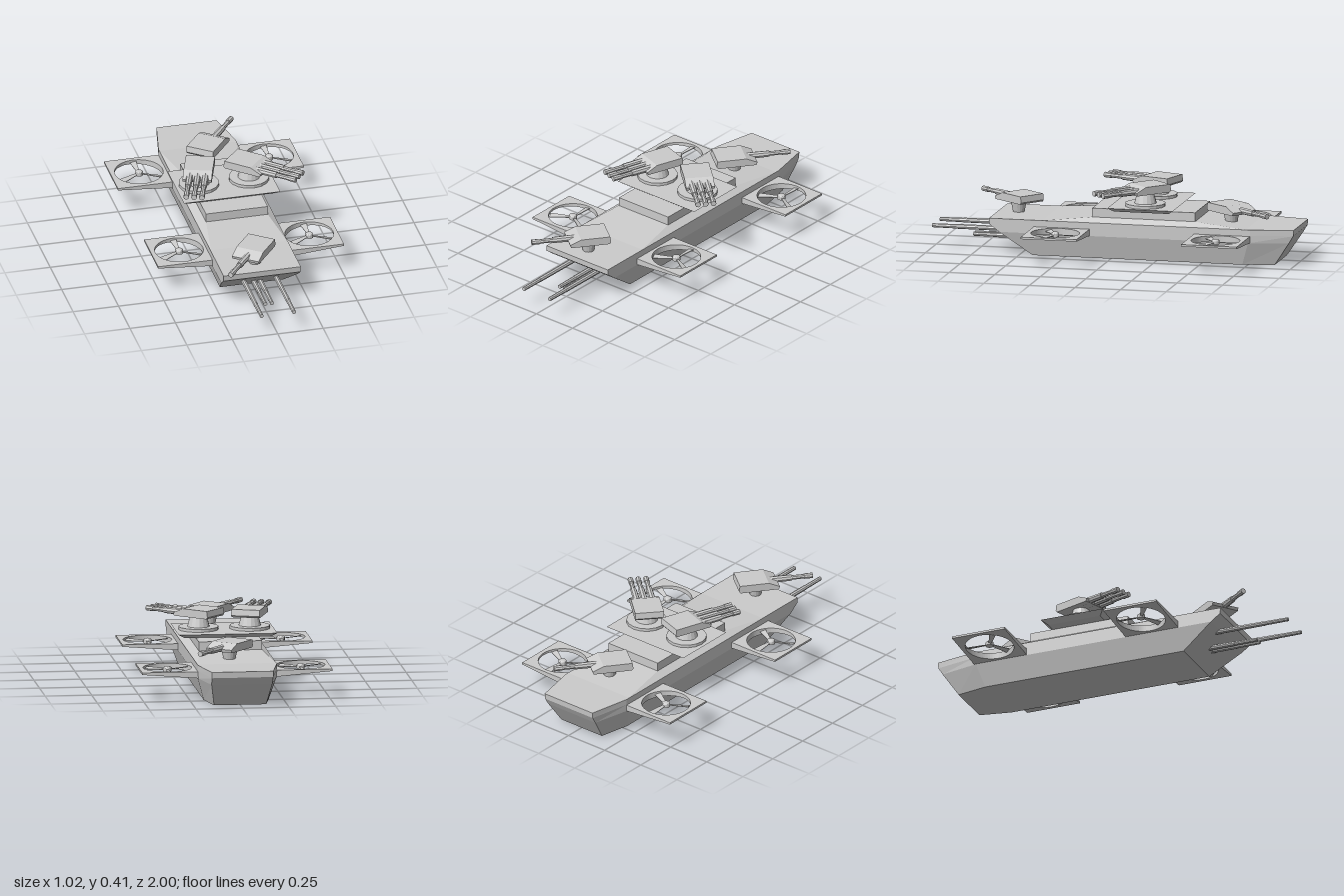
import * as THREE from 'three';

const mat = new THREE.MeshStandardMaterial({ color: 0xcccccc, flatShading: true });
const matThin = new THREE.MeshStandardMaterial({ color: 0xcccccc, flatShading: true, side: THREE.DoubleSide });

function add(parent, name, geo, x = 0, y = 0, z = 0, material = mat) {
  const m = new THREE.Mesh(geo, material);
  m.name = name;
  m.position.set(x, y, z);
  parent.add(m);
  return m;
}

// Solid from stacked horizontal rings: [y, halfWidth, zFront, zShoulder, halfWidthBack, zBack]
function stacked(levels) {
  const pos = [], idx = [], n = 6, last = (levels.length - 1) * n;
  for (const [y, w, zf, zs, wb, zb] of levels) {
    for (const [x, z] of [[w, zf], [w, zs], [wb, zb], [-wb, zb], [-w, zs], [-w, zf]]) pos.push(x, y, z);
  }
  for (let l = 0; l < levels.length - 1; l++) {
    for (let i = 0; i < n; i++) {
      const a = l * n + i, b = l * n + (i + 1) % n;
      idx.push(a, b, b + n, a, b + n, a + n);
    }
  }
  for (let i = 1; i < n - 1; i++) {
    idx.push(0, i + 1, i, last, last + i, last + i + 1);
  }
  const g = new THREE.BufferGeometry();
  g.setAttribute('position', new THREE.Float32BufferAttribute(pos, 3));
  g.setIndex(idx);
  const out = g.toNonIndexed();
  out.computeVertexNormals();
  return out;
}

// Cylinder along +z from z0 to z1
function rod(r0, r1, z0, z1, sides = 8) {
  return new THREE.CylinderGeometry(r1, r0, z1 - z0, sides)
    .rotateX(Math.PI / 2).translate(0, 0, (z0 + z1) / 2);
}

// Gun house with flat roof and sloped face, pointing along +z
function houseGeometry() {
  const w = 0.155;
  const s = new THREE.Shape([[-0.105, 0], [-0.113, 0.01], [-0.108, 0.043], [0.05, 0.043], [0.11, 0.016], [0.105, 0]]
    .map(([x, y]) => new THREE.Vector2(x, y)));
  return new THREE.ExtrudeGeometry(s, { depth: w, bevelEnabled: false })
    .translate(0, 0, -w / 2).rotateY(-Math.PI / 2);
}

function turret(name, x, y, z, angle, barrelOffsets) {
  const t = new THREE.Group();
  t.name = name;
  t.position.set(x, y, z);
  t.rotation.y = angle;
  add(t, 'gunHouse', houseGeometry());
  for (const bx of barrelOffsets) {
    add(t, 'barrelSleeve', rod(0.019, 0.017, 0.04, 0.19), bx, 0.018, 0);
    add(t, 'barrel', rod(0.013, 0.012, 0.18, 0.27), bx, 0.018, 0);
    add(t, 'muzzle', rod(0.015, 0.015, 0.26, 0.305), bx, 0.018, 0);
  }
  return t;
}

// Square rotor frame with round hole, thinning towards its outer edge
function rotorFrameGeometry(side) {
  const h = 0.153, thick = 0.036;
  const s = new THREE.Shape([[-h, -h], [h, -h], [h, h], [-h, h]].map(p => new THREE.Vector2(...p)));
  s.holes.push(new THREE.Path().absarc(0, 0, 0.13, 0, Math.PI * 2, true));
  const g = new THREE.ExtrudeGeometry(s, { depth: thick, bevelEnabled: false, curveSegments: 32 });
  g.rotateX(-Math.PI / 2).translate(0, -thick, 0);
  const p = g.attributes.position;
  for (let i = 0; i < p.count; i++) {
    const out = (side * p.getX(i) + h) / (2 * h);
    if (p.getY(i) < -thick / 2) p.setY(i, -thick + out * 0.025);
  }
  g.computeVertexNormals();
  return g;
}

function rotor(name, side, z) {
  const r = new THREE.Group();
  r.name = name;
  r.position.set(side * 0.358, 0.162, z);
  add(r, 'rotorFrame', rotorFrameGeometry(side));
  add(r, 'rotorHub', new THREE.CylinderGeometry(0.022, 0.022, 0.018, 12), 0, -0.01, 0);
  add(r, 'hubCap', new THREE.SphereGeometry(0.022, 12, 4, 0, Math.PI * 2, 0, Math.PI / 2).scale(1, 0.4, 1), 0, -0.001, 0);
  const blade = new THREE.Shape([[-0.006, 0.015], [0.008, 0.015], [0.017, 0.122], [-0.017, 0.126]]
    .map(p => new THREE.Vector2(...p)));
  for (let i = 0; i < 3; i++) {
    const g = new THREE.ExtrudeGeometry(blade, { depth: 0.004, bevelEnabled: false });
    g.rotateX(-Math.PI / 2).rotateZ(0.25).rotateY(i * Math.PI * 2 / 3);
    add(r, 'rotorBlade', g, 0, -0.012, 0, matThin);
  }
  return r;
}

export function createModel() {
  const ship = new THREE.Group();
  ship.name = 'airship';

  // Hull with raked bow and tapered stern
  add(ship, 'hull', stacked([
    [0, 0.175, 0.43, -0.72, 0.14, -0.89],
    [0.125, 0.212, 0.605, -0.76, 0.163, -0.973],
    [0.165, 0.212, 0.658, -0.77, 0.165, -0.997],
    [0.197, 0.212, 0.66, -0.77, 0.165, -1],
  ]));

  // Deck rise, superstructure and flared gun platform
  add(ship, 'deckRise', stacked([
    [0.196, 0.211, 0.38, -0.5, 0.211, -0.76],
    [0.221, 0.17, 0.105, -0.2, 0.17, -0.46],
  ]));
  add(ship, 'superstructure', new THREE.BoxGeometry(0.34, 0.05, 0.565), 0, 0.244, -0.178);
  add(ship, 'gunPlatform', stacked([
    [0.268, 0.23, -0.03, -0.18, 0.23, -0.33],
    [0.29, 0.265, 0, -0.18, 0.265, -0.36],
  ]));

  // Paired main turrets on the platform
  for (const [name, side, angle] of [['leftMainTurret', 1, 0.84], ['rightMainTurret', -1, -0.33]]) {
    const x = side * 0.138, z = -0.18;
    add(ship, 'turretRing', new THREE.CylinderGeometry(0.108, 0.108, 0.018, 16), x, 0.297, z);
    add(ship, 'turretPedestal', new THREE.CylinderGeometry(0.044, 0.06, 0.06, 16), x, 0.335, z);
    ship.add(turret(name, x, 0.363, z, angle, [-0.042, 0, 0.042]));
  }

  // Single-gun deck turrets fore and aft
  for (const [name, x, z, angle] of [['frontTurret', -0.02, 0.55, -0.66], ['rearTurret', 0.025, -0.625, 2.48]]) {
    add(ship, 'turretPedestal', new THREE.CylinderGeometry(0.045, 0.03, 0.07, 16), x + (z > 0 ? 0.008 : 0), 0.227, z);
    ship.add(turret(name, x, 0.256, z, angle, [0]));
  }

  // Four lift rotors
  for (const side of [1, -1]) {
    ship.add(rotor('frontRotor', side, 0.262));
    ship.add(rotor('rearRotor', side, -0.617));
  }

  // Fixed bow guns
  for (const [x, y, tip] of [[-0.088, 0.12, 1], [0.09, 0.12, 1], [-0.015, 0.07, 0.79], [0.021, 0.07, 0.79]]) {
    add(ship, 'bowGunSleeve', rod(0.014, 0.013, 0.45, tip - 0.13), x, y, 0);
    add(ship, 'bowGunBarrel', rod(0.012, 0.011, tip - 0.14, tip), x, y, 0);
  }
  return ship;
}
